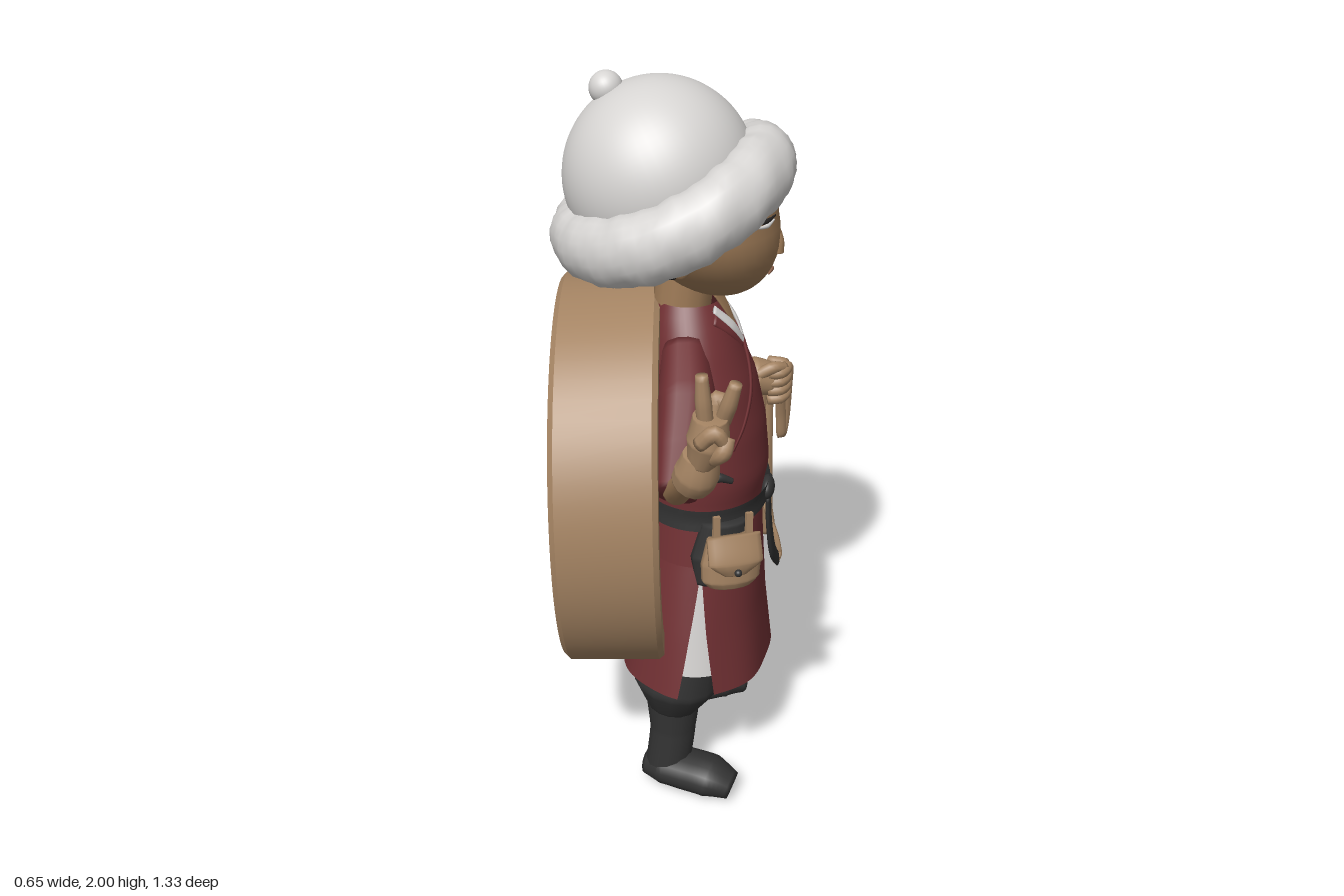
import * as THREE from 'three';
import { mergeVertices, toCreasedNormals } from 'three/addons/utils/BufferGeometryUtils.js';

const V = (a) => new THREE.Vector3(...a);
const mat = (name, color, side = THREE.FrontSide) => {
  const m = new THREE.MeshStandardMaterial({ color, side });
  m.name = name;
  return m;
};
const lerpList = (list, t) => {
  const f = Math.min(Math.max(t, 0), 1) * (list.length - 1), i = Math.min(Math.floor(f), list.length - 2);
  return list[i] + (list[i + 1] - list[i]) * (f - i);
};

// Smooth surface from a grid of points; fn(u, v) returns a Vector3
function grid(fn, nu, nv) {
  const pos = [], idx = [];
  for (let j = 0; j <= nv; j++) for (let i = 0; i <= nu; i++) pos.push(...fn(i / nu, j / nv).toArray());
  for (let j = 0; j < nv; j++) for (let i = 0; i < nu; i++) {
    const a = j * (nu + 1) + i, b = a + 1, c = a + nu + 1, d = c + 1;
    idx.push(a, b, d, a, d, c);
  }
  let g = new THREE.BufferGeometry();
  g.setAttribute('position', new THREE.Float32BufferAttribute(pos, 3));
  g.setIndex(idx);
  g = mergeVertices(g, 1e-5);
  g.computeVertexNormals();
  return g;
}

// Closed tapering sweep along a curve; flat squashes it along ref
function limb(points, radii, { ref = [1, 0, 0], flat = 1, sides = 14, steps = 24 } = {}) {
  const curve = new THREE.CatmullRomCurve3(points.map(V)), r0 = V(ref);
  return grid((u, v) => {
    const k = Math.round(v * (steps + 2)), t = Math.min(Math.max((k - 1) / steps, 0), 1);
    const T = curve.getTangent(t), N = r0.clone().addScaledVector(T, -T.dot(r0)).normalize();
    const B = T.clone().cross(N), a = (u % 1) * Math.PI * 2;
    const r = k === 0 || k === steps + 2 ? 0 : lerpList(radii, t);
    return curve.getPoint(t).addScaledVector(N, Math.cos(a) * r * flat).addScaledVector(B, Math.sin(a) * r);
  }, sides, steps + 2);
}

// Robe sections: height, centre x, half depth, half width
const SECTIONS = [
  [0.37, 0.1, 0.205, 0.274], [0.55, 0.1, 0.185, 0.25], [0.75, 0.105, 0.168, 0.22], [0.89, 0.11, 0.158, 0.2],
  [0.97, 0.115, 0.168, 0.208], [1.1, 0.11, 0.16, 0.203], [1.22, 0.1, 0.142, 0.19], [1.32, 0.08, 0.12, 0.155],
  [1.38, 0.07, 0.102, 0.118], [1.43, 0.06, 0.083, 0.08],
];
function robePoint(y, a, off = 0) {
  let i = 0;
  while (i < SECTIONS.length - 2 && y > SECTIONS[i + 1][0]) i++;
  const A = SECTIONS[i], B = SECTIONS[i + 1], t = (y - A[0]) / (B[0] - A[0]);
  const [cx, rx, rz] = [1, 2, 3].map((k) => A[k] + (B[k] - A[k]) * t);
  return new THREE.Vector3(cx + (rx + off) * Math.cos(a), y, -(rz + off) * Math.sin(a));
}
const band = (y0, y1, off, nv = 16) =>
  grid((u, v) => robePoint(y0 + (y1 - y0) * v, Math.PI * 2 * (u % 1), off), 48, nv);

// Point on the front of the robe at a given height and side offset
function onRobe(y, z, off = 0.002) {
  const rz = Math.abs(robePoint(y, Math.PI / 2).z);
  return robePoint(y, -Math.asin(Math.max(-1, Math.min(1, z / rz))), off).toArray();
}
const faceX = (y, z) => 0.095 + 0.19 * Math.sqrt(Math.max(0, 1 - (z / 0.205) ** 2 - ((y - 1.66) / 0.215) ** 2))
  + 0.05 * Math.max(0, (1.66 - y) / 0.215);

export function createModel() {
  const root = new THREE.Group();
  const red = mat('redCloth', 0x703033, THREE.DoubleSide), white = mat('whiteCloth', 0xd6d4d2, THREE.DoubleSide);
  const tan = mat('tanLeather', 0xa58463), skin = mat('skin', 0xa07c58), dark = mat('darkCloth', 0x323232, THREE.DoubleSide);
  const hair = mat('blackHair', 0x262322), lip = mat('lip', 0x8f6650);
  const add = (name, geo, m, parent = root, p = [0, 0, 0], s = [1, 1, 1]) => {
    const mesh = new THREE.Mesh(geo, m);
    mesh.name = name;
    mesh.position.set(...p);
    mesh.scale.set(...s);
    parent.add(mesh);
    return mesh;
  };
  const group = (name, p) => {
    const g = new THREE.Group();
    g.name = name;
    g.position.set(...p);
    root.add(g);
    return g;
  };
  const ball = (r = 1) => new THREE.SphereGeometry(r, 32, 24);

  // Drum carried on the back, leaning slightly backwards
  const drum = group('drum', [-0.138, 0.9, -0.04]);
  drum.rotation.set(0, 0.1, -Math.PI / 2 + 0.02);
  const lathe = (pts) => toCreasedNormals(new THREE.LatheGeometry(pts.map((p) => new THREE.Vector2(...p)), 64), 0.3);
  const oval = [0.54, 1, 0.515];
  add('drumShell', lathe([[0, -0.134], [0.975, -0.134], [1, -0.12], [1, 0.12], [0.98, 0.134], [0.875, 0.134], [0.87, 0.09]]),
    tan, drum, [0, 0, 0], oval);
  add('drumRedRing', lathe([[0.875, 0.102], [0.83, 0.102], [0.83, 0.09]]), red, drum, [0, 0, 0], oval);
  add('drumSkin', lathe([[0.85, 0.094], [0, 0.094]]), white, drum, [0, 0, 0], oval);

  // Hat with a fur brim that droops at the sides, tipped backwards
  const hat = group('hat', [0.02, 1.69, 0]);
  hat.rotation.z = 0.41;
  add('hatDome', new THREE.SphereGeometry(0.24, 48, 28, 0, Math.PI * 2, 0, Math.PI * 0.65), white, hat, [-0.006, 0.066, 0]);
  add('hatKnob', ball(0.042), white, hat, [-0.042, 0.308, 0]);
  const fur = new THREE.TorusGeometry(0.243, 0.079, 20, 80).rotateX(Math.PI / 2), fp = fur.attributes.position;
  for (let i = 0; i < fp.count; i++) {
    const p = new THREE.Vector3().fromBufferAttribute(fp, i), a = Math.atan2(p.z, p.x);
    const c = new THREE.Vector3(Math.cos(a), 0, Math.sin(a)).multiplyScalar(0.243);
    const k = 1 + 0.02 * Math.sin(a * 13 + p.y * 40) + 0.025 * Math.sin(a * 23 - p.y * 60);
    p.sub(c).multiplyScalar(k);
    p.y = p.y * 1.14 - 0.032 * Math.sin(a) ** 2;
    p.add(c);
    fp.setXYZ(i, p.x, p.y, p.z);
  }
  add('hatFurBrim', toCreasedNormals(fur, 1.2), white, hat);

  // Head: an egg that narrows towards a forward chin
  const skull = ball(), sp = skull.attributes.position;
  for (let i = 0; i < sp.count; i++) {
    const d = Math.max(0, -sp.getY(i));
    sp.setXYZ(i, sp.getX(i) * 0.19 + 0.05 * d, sp.getY(i) * 0.215, sp.getZ(i) * 0.205 * (1 - 0.18 * d * d));
  }
  skull.computeVertexNormals();
  add('head', skull, skin, root, [0.095, 1.66, 0]);
  add('hairBack', ball(), hair, root, [0.02, 1.615, 0], [0.13, 0.125, 0.188]);
  add('neck', limb([[0.04, 1.36, 0], [0.06, 1.55, 0]], [0.075, 0.075]), skin);
  add('nose', limb([[0.268, 1.65, 0], [0.284, 1.59, 0], [0.282, 1.56, 0]], [0.01, 0.016, 0.019]), skin);
  add('mouth', limb([-0.032, 0, 0.032].map((z) => [faceX(1.515, z) + 0.001, 1.515 - Math.abs(z) * 0.1, z]),
    [0.002, 0.008, 0.002]), lip);
  for (const s of [1, -1]) {
    add('ear', ball(), skin, root, [0.065, 1.59, s * 0.193], [0.026, 0.042, 0.02]);
    const arc = (y, z0, z1, lift) => [0, 0.5, 1].map((t) => {
      const z = z0 + (z1 - z0) * t, h = y + lift * (1 - (2 * t - 1) ** 2);
      return [faceX(h, z), h, s * z];
    });
    add('eyeWhite', limb(arc(1.664, 0.06, 0.135, -0.004), [0.002, 0.006, 0.002]), white);
    add('eyelid', limb(arc(1.672, 0.05, 0.148, 0), [0.002, 0.006, 0.002]), hair);
    add('eyebrow', limb(arc(1.705, 0.04, 0.15, 0.006), [0.003, 0.007, 0.002]), hair);
  }

  // Robe: closed top, and a skirt split at both sides over white side gores
  const PI = Math.PI;
  add('robeTop', band(0.73, 1.43, 0, 28), red);
  const skirtPanel = (centre, width, hem, flare) => grid((u, v) => {
    const y = hem + (0.75 - hem) * v, a = centre + (u * 2 - 1) * (width - 0.225 * (1 - v));
    return robePoint(y, a, (1 - v) * (flare * Math.abs(Math.sin(a)) + 0.004 * Math.sin(a * 7)));
  }, 40, 14);
  add('skirtFront', skirtPanel(0, PI / 2 - 0.13, 0.365, 0), red);
  add('skirtBack', skirtPanel(PI, PI / 2 + 0.13, 0.385, 0.04), red);
  for (const s of [1, -1])
    add('whiteGore', grid((u, v) => robePoint(0.42 + 0.36 * v, s * 1.44 + (u - 0.5) * 0.8, -0.01), 14, 10), white);
  const onFront = (list, off) => list.map(([y, z]) => onRobe(y, z, off));
  const strip = { flat: 0.35, steps: 20 };
  add('lapelEdge', limb(onFront([[1.4, -0.07], [1.32, -0.01], [1.22, 0.07], [1.14, 0.13], [1.08, 0.17]], 0.002),
    [0.02, 0.016, 0.014, 0.012, 0.008], strip), red);
  add('lapelEdge', limb(onFront([[1.4, 0.07], [1.36, 0.045], [1.31, 0.01]], 0), [0.02, 0.016, 0.012], strip), red);
  add('throat', limb(onFront([[1.45, 0], [1.4, 0], [1.35, 0]], 0.002), [0.045, 0.03, 0.006], { flat: 0.15 }), skin);
  for (const s of [1, -1])
    add('whiteCollar', limb(onFront([[1.42, s * 0.055], [1.37, s * 0.032], [1.31, 0]], 0.006), [0.013, 0.015, 0.008], strip), white);
  add('robeTie', limb([[0.13, 1.0, 0.205], [0.165, 1.015, 0.2], [0.2, 1.0, 0.185]], [0.008, 0.013, 0.008]), dark);

  // Belt, knot and hanging sash
  add('belt', band(0.86, 0.92, 0.014, 4), dark);
  add('beltKnot', ball(), dark, root, [0.282, 0.885, 0], [0.02, 0.032, 0.042]);
  add('beltKnotEnd', limb([[0.285, 0.89, 0.02], [0.284, 0.865, -0.07], [0.258, 0.885, -0.12]], [0.024, 0.026, 0.018], strip), dark);
  add('sash', limb([[0.285, 0.87, 0.01], [0.29, 0.77, -0.005], [0.3, 0.66, -0.045], [0.313, 0.58, -0.12]],
    [0.022, 0.024, 0.026, 0.02], strip), dark);

  // Tan pouch on the right hip with a dark one behind it
  const pouch = group('pouch', [0.205, 0.785, 0.225]);
  pouch.rotation.set(-0.08, 0.45, 0);
  const facing = (flat) => ({ ref: [0, 0, 1], flat });
  add('pouchBody', limb([[0, -0.07, 0], [0, -0.05, 0], [0, 0, 0], [0, 0.07, 0]], [0.06, 0.08, 0.083, 0.068], facing(0.5)), tan, pouch);
  add('pouchFlap', limb([[0, -0.025, 0.036], [0, 0.01, 0.036], [0, 0.08, 0.012]], [0.03, 0.076, 0.075], facing(0.25)), tan, pouch);
  add('pouchButton', ball(0.01), dark, pouch, [0, -0.01, 0.055]);
  add('darkPouch', limb([[-0.01, -0.08, -0.045], [-0.01, 0, -0.045], [-0.01, 0.1, -0.035]], [0.07, 0.085, 0.06], facing(0.48)), dark, pouch);
  for (const x of [-0.045, 0.045])
    add('pouchLoop', new THREE.BoxGeometry(0.018, 0.08, 0.012), tan, pouch, [x, 0.095, 0.005]);

  // Legs: baggy trousers and boots, toes turned out
  for (const s of [1, -1]) {
    const leg = group(s > 0 ? 'rightLeg' : 'leftLeg', [0.035, 0, s * 0.153]);
    leg.rotation.y = s > 0 ? -0.22 : 0.32;
    add('trouserLeg', limb([[0.025, 0.5, -s * 0.035], [0.025, 0.42, -s * 0.015], [0.02, 0.33, 0], [0.012, 0.25, s * 0.008]],
      [0.085, 0.115, 0.118, 0.068]), dark, leg);
    add('bootShaft', limb([[0.012, 0.29, 0], [0.015, 0.18, s * 0.012], [0.005, 0.05, s * 0.028]], [0.078, 0.065, 0.064]), dark, leg);
    add('bootFoot', limb([[-0.055, 0.045, s * 0.028], [0, 0.052, s * 0.031], [0.07, 0.054, s * 0.036], [0.14, 0.054, s * 0.042], [0.205, 0.036, s * 0.042]],
      [0.045, 0.068, 0.07, 0.07, 0.045], { ref: [0, 1, 0], flat: 0.76 }), dark, leg);
  }

  // Arms: sleeve, bare forearm
  const arm = (side, sleeve, fore) => {
    add(side + 'Sleeve', limb(sleeve, [0.085, 0.105, 0.095, 0.075], { flat: 0.72 }), red);
    add(side + 'Forearm', limb(fore, [0.036, 0.031, 0.027]), skin);
  };
  arm('right', [[0.065, 1.315, 0.08], [0.08, 1.22, 0.18], [0.08, 1.125, 0.275], [0.075, 1.045, 0.355]],
    [[0.075, 1.05, 0.34], [0.105, 1.13, 0.45], [0.145, 1.24, 0.57]]);
  arm('left', [[0.065, 1.315, -0.08], [0.05, 1.215, -0.175], [0.03, 1.12, -0.27], [0.01, 1.045, -0.36]],
    [[0.01, 1.05, -0.345], [0.06, 0.995, -0.44], [0.12, 0.95, -0.53]]);

  // Right glove raised, two fingers up and the rest curled
  add('rightGloveCuff', limb([[0.138, 1.21, 0.565], [0.15, 1.24, 0.58], [0.16, 1.29, 0.588]], [0.05, 0.053, 0.042]), tan);
  add('rightCuffLining', limb([[0.136, 1.206, 0.563], [0.14, 1.214, 0.567]], [0.044, 0.044], { steps: 2 }), dark);
  add('rightPalm', limb([[0.16, 1.27, 0.588], [0.175, 1.33, 0.59], [0.18, 1.39, 0.59]], [0.042, 0.062, 0.05], { flat: 0.8 }), tan);
  const finger = (name, pts, r = 0.019) => add(name, limb(pts, [r, r, r * 0.75], { ref: [0.3, 0.2, 1], sides: 10, steps: 10 }), tan);
  finger('indexFinger', [[0.205, 1.37, 0.575], [0.22, 1.42, 0.59], [0.235, 1.475, 0.595]]);
  finger('middleFinger', [[0.17, 1.37, 0.6], [0.165, 1.43, 0.605], [0.16, 1.495, 0.605]]);
  finger('ringFinger', [[0.18, 1.36, 0.555], [0.19, 1.41, 0.54], [0.225, 1.38, 0.555]]);
  finger('littleFinger', [[0.16, 1.34, 0.635], [0.195, 1.375, 0.645], [0.22, 1.34, 0.635]]);
  finger('rightThumb', [[0.19, 1.3, 0.62], [0.215, 1.33, 0.645], [0.225, 1.36, 0.63]]);

  // Left glove holding the strap
  const up = { ref: [0, 1, 0] };
  add('leftGloveCuff', limb([[0.095, 0.965, -0.51], [0.115, 0.955, -0.53], [0.155, 0.945, -0.555]], [0.055, 0.055, 0.042], up), tan);
  add('leftCuffLining', limb([[0.091, 0.967, -0.506], [0.099, 0.963, -0.514]], [0.048, 0.048], { ...up, steps: 2 }), dark);
  add('leftPalm', limb([[0.14, 0.945, -0.55], [0.2, 0.94, -0.575], [0.25, 0.93, -0.59]], [0.042, 0.062, 0.052], up), tan);
  for (let i = 0; i < 4; i++) {
    const y = 0.97 - i * 0.028;
    finger('leftFinger', [[0.24, y, -0.625], [0.295, y, -0.61], [0.285, y - 0.005, -0.56], [0.245, y - 0.01, -0.55]]);
  }
  finger('leftThumb', [[0.21, 0.96, -0.54], [0.26, 0.985, -0.55], [0.295, 0.975, -0.58]]);

  // Leather strap: sweep from sash to hand, hanging end and small loop
  const strap = (name, pts) => add(name, limb(pts, [0.019, 0.019], { ref: [0.6, 0, 0.8], flat: 0.5, sides: 8, steps: 40 }), tan);
  strap('strapSweep', [[0.313, 0.59, -0.11], [0.31, 0.55, -0.2], [0.295, 0.53, -0.33], [0.27, 0.545, -0.43], [0.245, 0.62, -0.52], [0.23, 0.76, -0.55], [0.225, 0.92, -0.56]]);
  strap('strapHangingEnd', [[0.245, 0.92, -0.585], [0.25, 0.72, -0.565], [0.255, 0.55, -0.56], [0.26, 0.39, -0.575]]);
  strap('strapLoop', [[0.28, 0.9, -0.61], [0.3, 0.95, -0.635], [0.3, 0.87, -0.65], [0.295, 0.75, -0.65], [0.29, 0.72, -0.635], [0.285, 0.79, -0.625], [0.28, 0.89, -0.605]]);
  return root;
}
